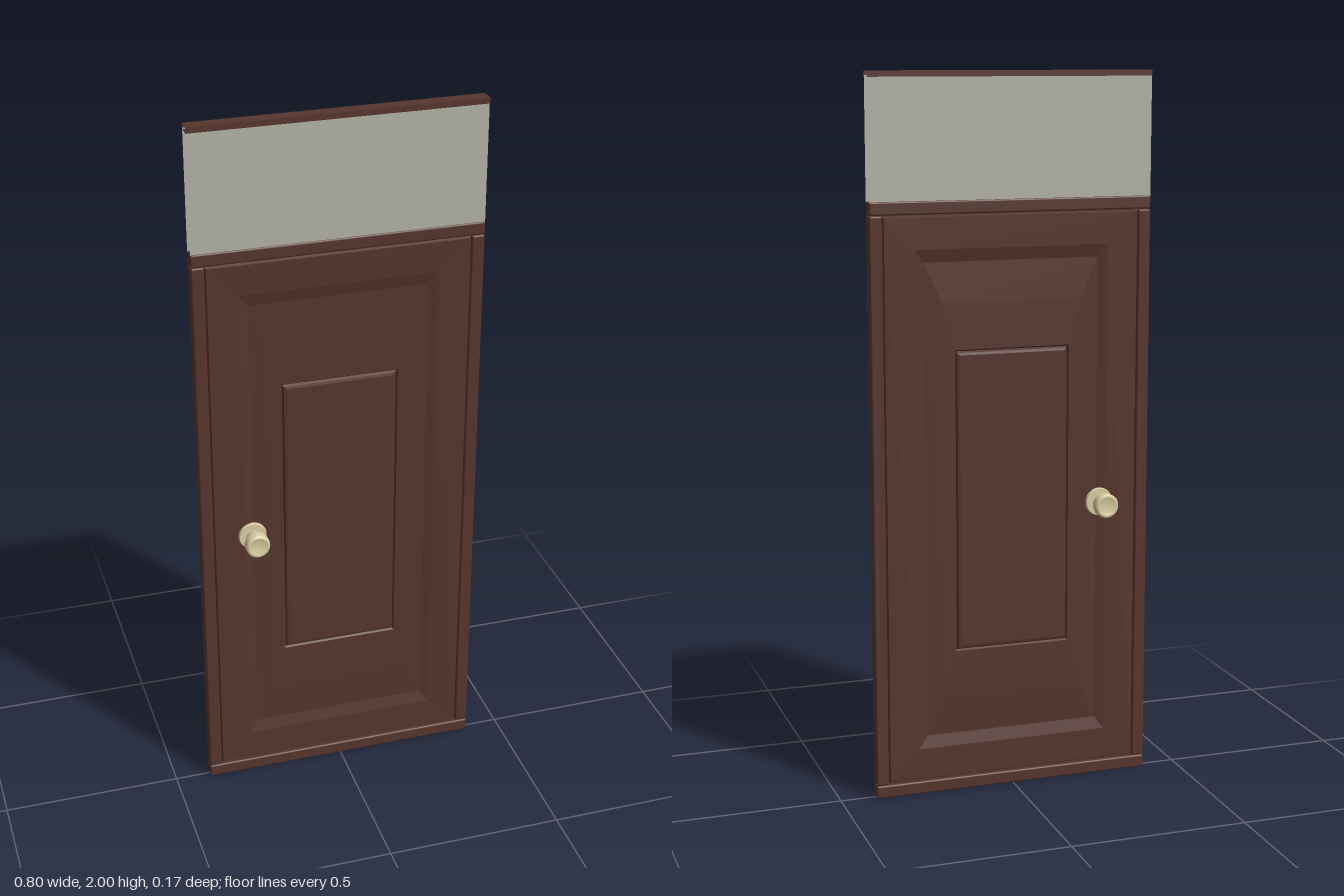
import * as THREE from 'three';
import { RoundedBoxGeometry } from 'three/addons/geometries/RoundedBoxGeometry.js';

const Z0 = -0.0015; // middle plane of the door

// Nested rectangles [halfWidth, halfHeight, z] joined by sloping faces, closed by a cap
function steppedPanel(rings) {
  const pos = [];
  const corners = ([w, h, z]) => [[-w, -h, z], [w, -h, z], [w, h, z], [-w, h, z]];
  const quad = (a, b, c, d) => pos.push(...a, ...b, ...c, ...a, ...c, ...d);
  for (let i = 0; i < rings.length - 1; i++) {
    const o = corners(rings[i]), n = corners(rings[i + 1]);
    for (let k = 0; k < 4; k++) {
      const m = (k + 1) % 4;
      quad(o[k], o[m], n[m], n[k]);
    }
  }
  quad(...corners(rings[rings.length - 1]));
  const g = new THREE.BufferGeometry();
  g.setAttribute('position', new THREE.Float32BufferAttribute(pos, 3));
  g.computeVertexNormals();
  return g;
}

export function createModel() {
  const model = new THREE.Group();
  model.name = 'door';
  const wood = new THREE.MeshStandardMaterial({ color: 0x57362e, side: THREE.DoubleSide });
  wood.name = 'dark brown wood';
  const glass = new THREE.MeshStandardMaterial({ color: 0xb3b2a6, side: THREE.DoubleSide });
  glass.name = 'grey glass';
  const brass = new THREE.MeshStandardMaterial({ color: 0xdccfa2, side: THREE.DoubleSide });
  brass.name = 'pale brass';

  const add = (parent, name, geo, mat, x, y, z) => {
    const mesh = new THREE.Mesh(geo, mat);
    mesh.name = name;
    mesh.position.set(x, y, z);
    parent.add(mesh);
    return mesh;
  };

  // Rails and stiles with softened edges
  const railGeo = new RoundedBoxGeometry(0.8, 0.036, 0.039, 2, 0.005);
  add(model, 'bottomRail', railGeo, wood, 0, 0.018, Z0);
  add(model, 'topRail', railGeo, wood, 0, 1.642, Z0);
  const stileGeo = new RoundedBoxGeometry(0.035, 1.585, 0.039, 2, 0.005);
  for (const s of [-1, 1]) add(model, s > 0 ? 'leftStile' : 'rightStile', stileGeo, wood, s * 0.3825, 0.83, Z0);

  // Stepped panel and knob, the same on both faces
  const panelGeo = steppedPanel([
    [0.392, 0.805, 0.008], [0.364, 0.79, 0.008], [0.36, 0.786, 0.016],
    [0.275, 0.7, 0.0145], [0.25, 0.665, 0.006], [0.2, 0.555, 0.010],
    [0.165, 0.425, 0.010], [0.161, 0.421, 0.004], [0.157, 0.417, 0.011],
    [0.15, 0.41, 0.013],
  ]);
  const roseGeo = new THREE.CylinderGeometry(0.038, 0.04, 0.008, 32).rotateX(Math.PI / 2);
  const knobProfile = [
    [0.02, 0.02], [0.018, 0.027], [0.021, 0.035], [0.027, 0.045], [0.032, 0.054],
    [0.034, 0.062], [0.034, 0.08], [0.032, 0.085], [0.028, 0.0865], [0.023, 0.0855],
    [0.018, 0.083], [0, 0.082],
  ].map(([r, h]) => new THREE.Vector2(r, h));
  const knobGeo = new THREE.LatheGeometry(knobProfile, 32).rotateX(Math.PI / 2);

  for (const s of [1, -1]) {
    const face = new THREE.Group();
    face.name = s > 0 ? 'frontFace' : 'backFace';
    face.position.z = Z0;
    if (s < 0) face.rotation.y = Math.PI;
    add(face, 'panel', panelGeo, wood, 0, 0.83, 0);
    add(face, 'knobRose', roseGeo, brass, -0.255 * s, 0.805, 0.0205);
    add(face, 'knob', knobGeo, brass, -0.255 * s, 0.805, 0);
    model.add(face);
  }

  // Transom: two panes and an open-ended top bar
  const paneGeo = new THREE.PlaneGeometry(0.8, 0.33);
  const barFaceGeo = new THREE.PlaneGeometry(0.8, 0.016);
  const barFlatGeo = new THREE.PlaneGeometry(0.8, 0.038).rotateX(-Math.PI / 2);
  for (const s of [1, -1]) {
    const side = s > 0 ? 'Front' : 'Back';
    const pane = add(model, 'transomPane' + side, paneGeo, glass, 0, 1.823, Z0 + s * 0.016);
    const bar = add(model, 'topBar' + side, barFaceGeo, wood, 0, 1.992, Z0 + s * 0.019);
    if (s < 0) pane.rotation.y = bar.rotation.y = Math.PI;
  }
  add(model, 'topBarTop', barFlatGeo, wood, 0, 2, Z0);
  add(model, 'topBarUnderside', barFlatGeo, wood, 0, 1.984, Z0).rotation.x = Math.PI;

  return model;
}
